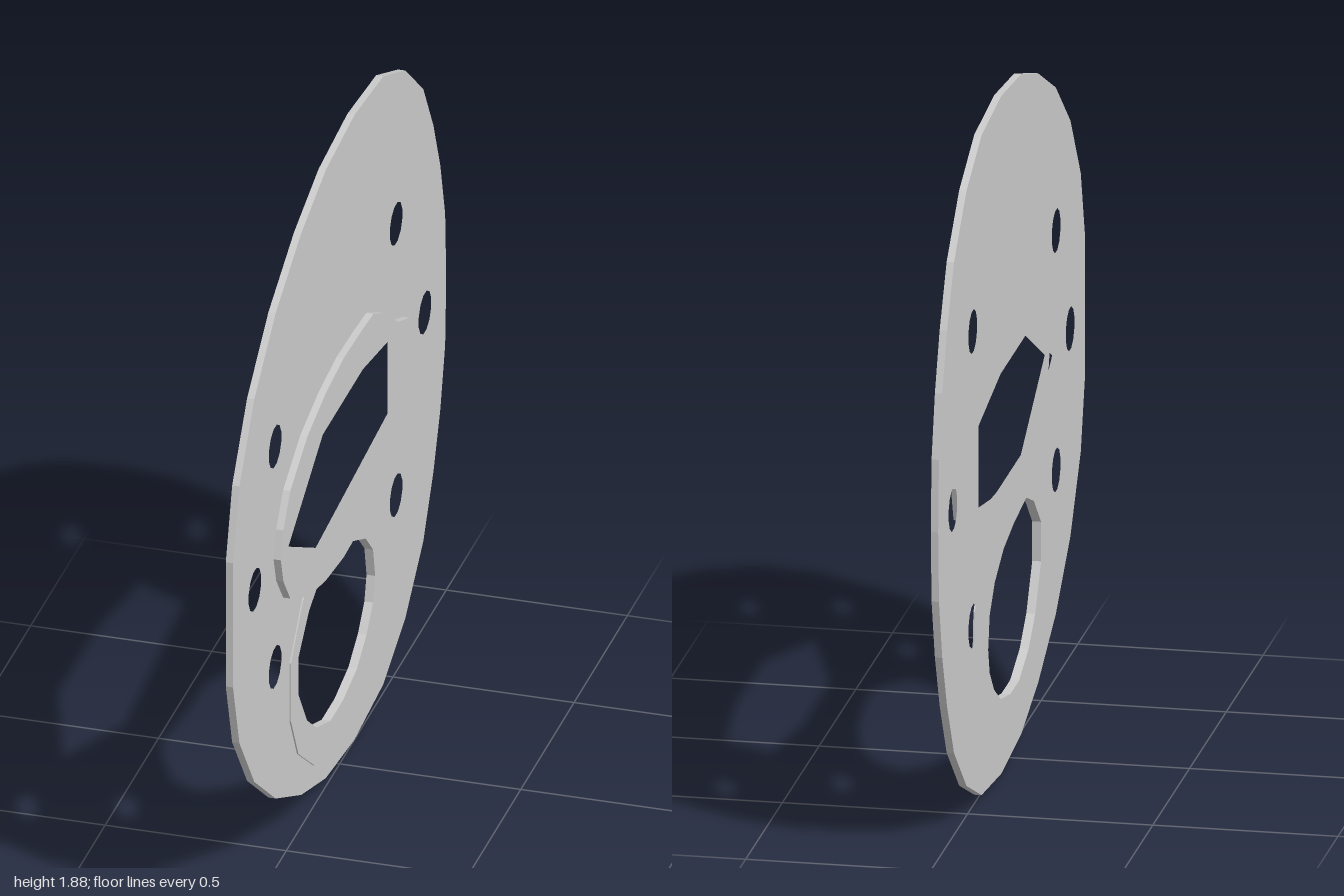
import * as THREE from 'three';

const MID = 0.9425; // height of the horizontal symmetry line

// Points are [z, y]; the plate is drawn flat, then turned to face +x.
const toVectors = (pts) => pts.map(([z, y]) => new THREE.Vector2(-z, y));

// Complete an outline from its upper half; points on the symmetry line are not repeated.
function mirrored(upper) {
  const lower = upper.filter(([, y]) => y - MID > 0.001).map(([z, y]) => [z, 2 * MID - y]);
  return [...upper, ...lower.reverse()];
}

function circle(z, y, r, n = 12) {
  return Array.from({ length: n }, (_, i) => {
    const a = ((i + 0.5) / n) * Math.PI * 2;
    return [z + r * Math.cos(a), y + r * Math.sin(a)];
  });
}

function slab(name, outline, holes, x0, x1, material) {
  const shape = new THREE.Shape(toVectors(outline));
  for (const h of holes) shape.holes.push(new THREE.Path(toVectors(h)));
  const geo = new THREE.ExtrudeGeometry(shape, { depth: x1 - x0, bevelEnabled: false });
  geo.rotateY(Math.PI / 2).translate(x0, 0, 0);
  const mesh = new THREE.Mesh(geo, material);
  mesh.name = name;
  return mesh;
}

export function createModel() {
  const group = new THREE.Group();
  group.name = 'mountingPlate';
  const grey = new THREE.MeshStandardMaterial({ color: 0xcccccc, flatShading: true });

  const plateOutline = mirrored([
    [1, 1.13], [0.94, 1.33], [0.8, 1.52], [0.6, 1.675], [0.36, 1.79], [0.13, 1.86],
    [-0.14, 1.885], [-0.41, 1.86], [-0.615, 1.77], [-0.785, 1.625], [-0.88, 1.465],
    [-0.945, 1.31], [-0.99, 1.14], [-1, MID],
  ]);
  const rimOutline = mirrored([
    [0.62, MID], [0.595, 1.02], [0.53, 1.105], [0.37, 1.185], [0.2, 1.225], [0.03, 1.243],
    [-0.13, 1.238], [-0.25, 1.23], [-0.35, 1.18], [-0.48, 1.085], [-0.59, 1.04], [-0.625, MID],
  ]);
  const ringOutline = [
    [0.47, 0.55], [0.47, 0.375], [0.4, 0.24], [0.25, 0.127], [0.06, 0.08], [-0.13, 0.08],
    [-0.28, 0.11], [-0.38, 0.2], [-0.42, 0.35], [-0.4, 0.53], [-0.3, 0.64], [-0.1, 0.69],
    [0.2, 0.72], [0.355, 0.68],
  ];

  // Pointed slot: the rim has one more corner than the plate behind it
  const plateSlot = [[0.55, 0.945], [0.225, 1.115], [-0.15, 1.115], [-0.45, 1.065], [-0.45, 0.822], [0.225, 0.77]];
  const rimSlot = [...plateSlot.slice(0, 5), [-0.15, 0.77], [0.225, 0.77]];

  // Rounded opening below the slot
  const opening = [
    [0.4, 0.53], [0.4, 0.42], [0.32, 0.3], [0.23, 0.23], [0.1, 0.183], [-0.02, 0.183],
    [-0.15, 0.21], [-0.24, 0.265], [-0.3, 0.33], [-0.32, 0.4], [-0.3, 0.49], [-0.23, 0.56],
    [-0.11, 0.615], [0.03, 0.643], [0.2, 0.66], [0.3, 0.62],
  ];

  const boltHoles = [
    [0.605, 1.275], [0.605, 0.61], [0.795, MID], [-0.8, MID], [-0.53, 1.352], [-0.53, 0.533],
  ].map(([z, y]) => circle(z, y, 0.06));

  group.add(
    slab('plate', plateOutline, [plateSlot, opening, ...boltHoles], -0.02, 0, grey),
    slab('slotRim', rimOutline, [rimSlot], 0, 0.02, grey),
    slab('openingRing', ringOutline, [opening], 0, 0.004, grey),
  );
  return group;
}
